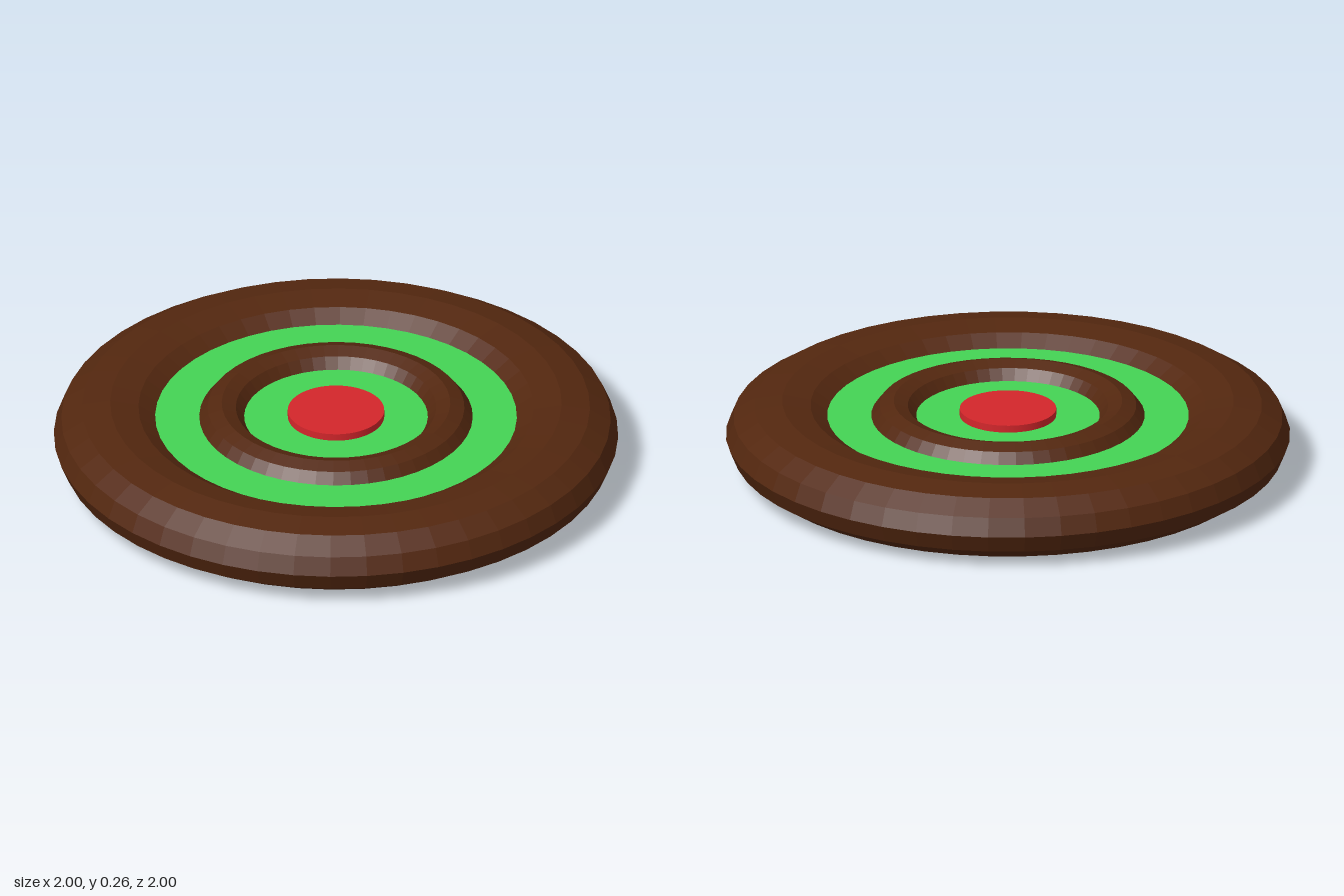
import * as THREE from 'three';

const HALF = 0.128; // half the thickness of both rings

export function createModel() {
  const group = new THREE.Group();
  const brown = new THREE.MeshStandardMaterial({ color: 0x53270f, flatShading: true });
  const green = new THREE.MeshStandardMaterial({ color: 0x44d454 });
  const red = new THREE.MeshStandardMaterial({ color: 0xd4262b });

  const add = (name, geometry, material) => {
    const mesh = new THREE.Mesh(geometry, material);
    mesh.name = name;
    mesh.position.y = HALF;
    group.add(mesh);
  };

  // Torus laid flat, its tube stretched to the common thickness
  const ring = (radius, tube) =>
    new THREE.TorusGeometry(radius, tube, 12, 48)
      .rotateX(Math.PI / 2)
      .scale(1, HALF / tube, 1);

  const disc = (radius, height) => new THREE.CylinderGeometry(radius, radius, height, 64);

  add('outerRing', ring(0.8, 0.2), brown);
  add('innerRing', ring(0.405, 0.1), brown);
  // Disc filling the rings, showing as two bands on each face
  add('fillingDisc', disc(0.7, 0.146), green);
  // Raised button on both faces
  add('centreButton', disc(0.171, 0.198), red);

  return group;
}
